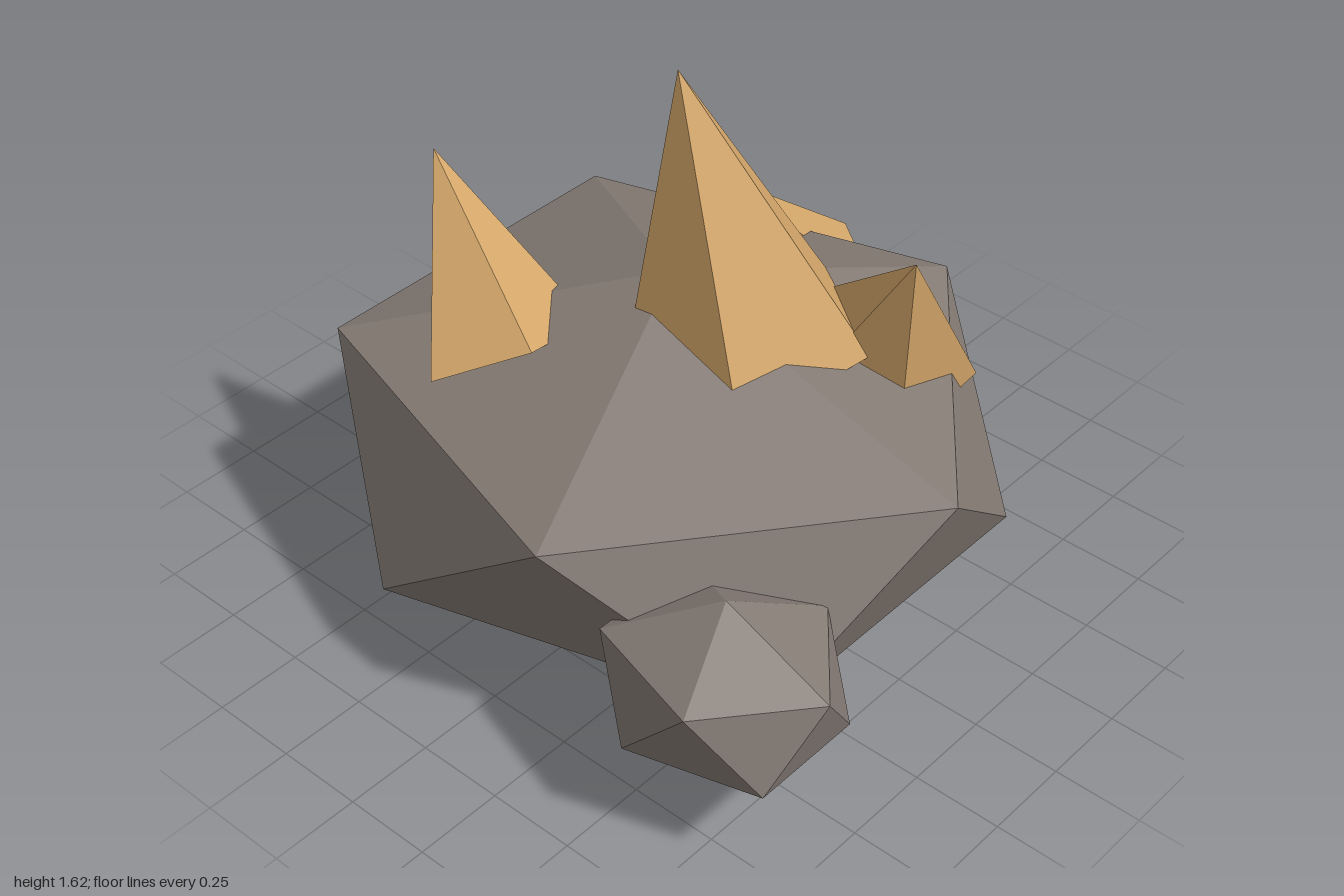
import * as THREE from 'three';

const stone = new THREE.MeshStandardMaterial({ color: 0x857b75 });
stone.name = 'grey stone';
const amber = new THREE.MeshStandardMaterial({ color: 0xd4a76a });
amber.name = 'amber crystal';

// Squashed icosahedron standing on a corner; radii are corner distances
function rock(name, center, radii, turn = 0) {
  const g = new THREE.IcosahedronGeometry(1, 0);
  g.rotateZ(-Math.atan(2 / (1 + Math.sqrt(5)))); // one corner straight up
  g.scale(...radii);
  g.computeVertexNormals();
  const mesh = new THREE.Mesh(g, stone);
  mesh.name = name;
  mesh.position.set(...center);
  mesh.rotation.y = THREE.MathUtils.degToRad(turn);
  return mesh;
}

// Five-sided cone from a foot centre to a tip; sink lengthens it into the rock
function crystal(name, foot, tip, radius, heading, sink) {
  const end = new THREE.Vector3(...tip);
  const axis = end.clone().sub(new THREE.Vector3(...foot)).multiplyScalar(sink);
  const length = axis.length();
  const cone = new THREE.ConeGeometry(radius * sink, length, 5);
  cone.rotateY(THREE.MathUtils.degToRad(heading));
  cone.translate(0, -length / 2, 0); // tip at the origin
  const g = cone.toNonIndexed();
  g.computeVertexNormals();
  const mesh = new THREE.Mesh(g, amber);
  mesh.name = name;
  mesh.position.copy(end);
  mesh.quaternion.setFromUnitVectors(new THREE.Vector3(0, 1, 0), axis.normalize());
  return mesh;
}

export function createModel() {
  const group = new THREE.Group();
  group.name = 'crystalRock';

  // Large boulder and two small stones at its sides
  group.add(
    rock('boulder', [0, 0.5, 0.05], [1.034, 0.495, 0.947]),
    rock('frontStone', [0.675, 0.41, 0.617], [0.358, 0.245, 0.31]),
    rock('backStone', [-0.728, 0.39, -0.43], [0.313, 0.225, 0.27], -30),
  );

  // Crystals growing from the top; the back one overhangs the edge
  group.add(
    crystal('mainCrystal', [0.142, 0.92, -0.034], [0.05, 1.62, 0.085], 0.285, 37, 1.2),
    crystal('leftCrystal', [-0.37, 0.83, 0.344], [-0.61, 1.22, 0.29], 0.2, -3, 1.2),
    crystal('rightCrystal', [0.43, 0.785, -0.31], [0.605, 1.18, -0.163], 0.205, 50, 1.2),
    crystal('backCrystal', [-0.155, 0.485, -0.69], [-0.22, 0.96, -0.405], 0.223, 37, 1),
  );
  return group;
}
